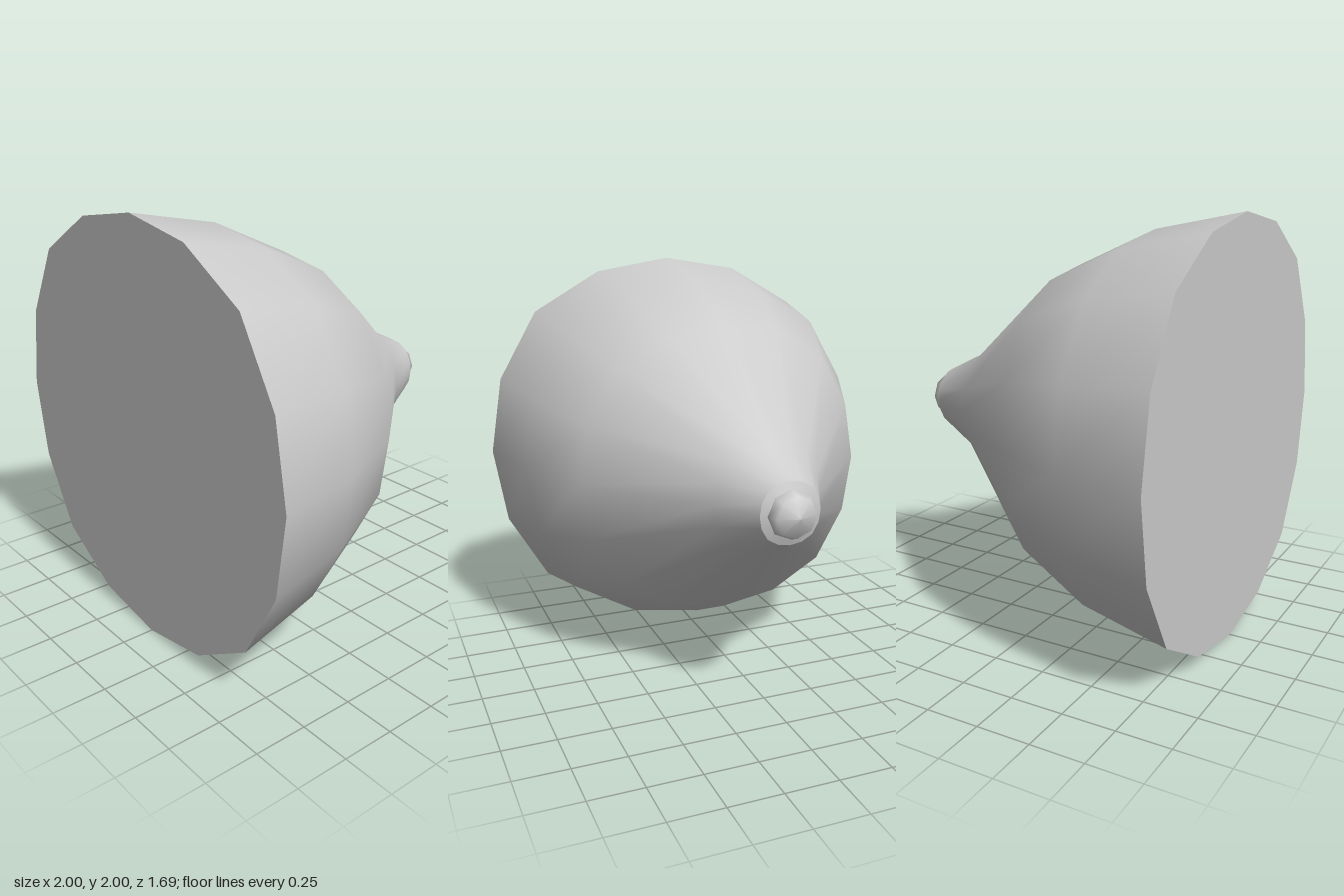
import * as THREE from 'three';

const SIDES = 16;

// The outline is slightly fuller than a circle on its diagonals.
function swell(geometry) {
  const p = geometry.attributes.position;
  for (let i = 0; i < p.count; i++) {
    const a = Math.atan2(p.getY(i), p.getX(i));
    const s = 1 + 0.04 * Math.pow(Math.sin(2 * a), 2) - 0.0065 * Math.pow(Math.sin(4 * a), 2);
    p.setXY(i, p.getX(i) * s, p.getY(i) * s);
  }
  return geometry;
}

// Revolve [radius, z] pairs around the z axis.
function revolve(profile, sides) {
  const points = profile.map(([r, z]) => new THREE.Vector2(r, z));
  return new THREE.LatheGeometry(points, sides).rotateX(Math.PI / 2);
}

export function createModel() {
  const group = new THREE.Group();
  const material = new THREE.MeshStandardMaterial({ color: 0xcccccc, side: THREE.DoubleSide });

  const add = (name, geometry) => {
    const mesh = new THREE.Mesh(geometry, material);
    mesh.name = name;
    mesh.position.y = 1;
    group.add(mesh);
  };

  // Flared bell, from the narrow neck at the back to the wide mouth
  add('bell', swell(revolve([
    [0.145, -0.75], [0.26, -0.52], [0.73, 0.02], [0.91, 0.41], [1, 0.845],
  ], SIDES)));

  // Narrow end of the neck, closing in on the tip
  add('neckEnd', swell(revolve([[0.09, -0.77], [0.145, -0.75]], SIDES)));

  // Flat face over the mouth
  add('frontFace', swell(new THREE.CircleGeometry(1, SIDES).translate(0, 0, 0.845)));

  // Small faceted knob at the back
  add('tip', revolve([
    [0, -0.845], [0.094, -0.818], [0.114, -0.765], [0.114, -0.7],
  ], 8));

  return group;
}
